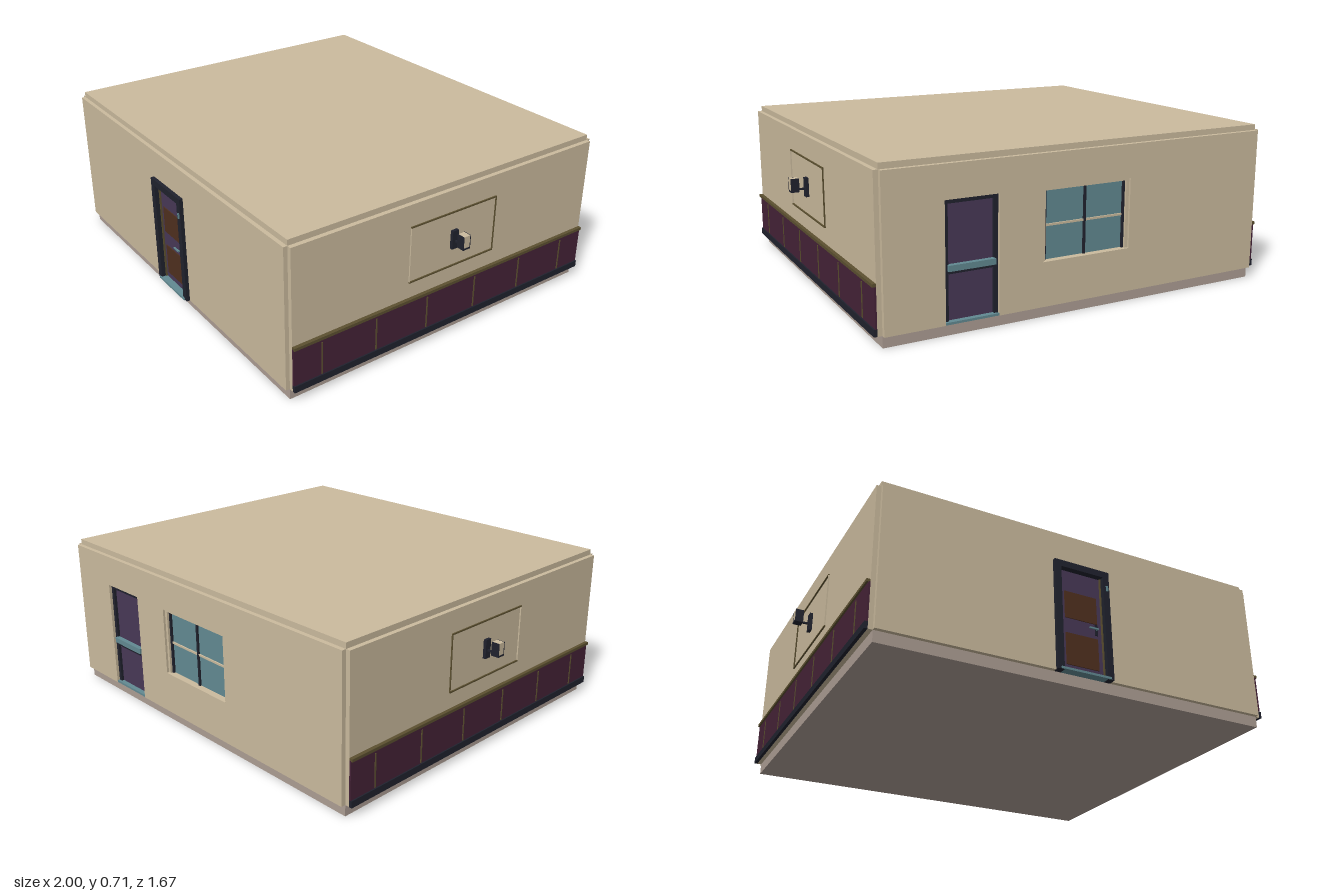
import * as THREE from 'three';

const material = (name, color) => {
  const m = new THREE.MeshStandardMaterial({ color });
  m.name = name;
  return m;
};

export function createModel() {
  const beige = material('beige plaster', 0xcbbb9e);
  const stone = material('floor stone', 0xad9e94);
  const navy = material('dark navy', 0x20222e);
  const purple = material('purple door', 0x483857);
  const brown = material('brown panel', 0x50301f);
  const maroon = material('maroon wainscot', 0x452237);
  const olive = material('olive trim', 0x5c5030);
  const teal = material('teal metal and glass', 0x628a92);

  const model = new THREE.Group();
  model.name = 'room';

  // Box given by its limits on each axis
  const box = (parent, name, mat, x0, x1, y0, y1, z0, z1) => {
    const mesh = new THREE.Mesh(new THREE.BoxGeometry(x1 - x0, y1 - y0, z1 - z0), mat);
    mesh.position.set((x0 + x1) / 2, (y0 + y1) / 2, (z0 + z1) / 2);
    mesh.name = name;
    parent.add(mesh);
    return mesh;
  };
  const group = (name) => {
    const g = new THREE.Group();
    g.name = name;
    model.add(g);
    return g;
  };

  // Floor and ceiling slabs
  box(model, 'floor', stone, -0.9, 0.9, 0, 0.05, -0.815, 0.79);
  box(model, 'ceiling', beige, -0.9, 0.9, 0.665, 0.715, -0.815, 0.79);

  // Front wall, in pieces around the door opening
  const front = group('frontWall');
  box(front, 'wallLeft', beige, 0.115, 0.9, 0.05, 0.69, 0.768, 0.808);
  box(front, 'wallRight', beige, -0.9, -0.12, 0.05, 0.69, 0.768, 0.808);
  box(front, 'lintel', beige, -0.12, 0.115, 0.55, 0.69, 0.768, 0.808);

  // Back wall, in pieces around the door and window openings
  const back = group('backWall');
  const backPiece = (name, x0, x1, y0, y1) => box(back, name, beige, x0, x1, y0, y1, -0.835, -0.795);
  backPiece('wallLeft', 0.645, 0.9, 0.05, 0.69);
  backPiece('doorLintel', 0.41, 0.645, 0.55, 0.69);
  backPiece('wallMiddle', 0.21, 0.41, 0.05, 0.69);
  backPiece('windowLintel', -0.21, 0.21, 0.545, 0.69);
  backPiece('windowApron', -0.21, 0.21, 0.05, 0.225);
  backPiece('wallRight', -0.9, -0.21, 0.05, 0.69);

  // Front door with its casing
  const door = group('frontDoor');
  box(door, 'casingRight', navy, -0.135, -0.105, 0.05, 0.56, 0.775, 0.825);
  box(door, 'casingLeft', navy, 0.1, 0.13, 0.05, 0.56, 0.775, 0.825);
  box(door, 'casingTop', navy, -0.105, 0.1, 0.53, 0.56, 0.775, 0.825);
  box(door, 'doorLeaf', purple, -0.105, 0.1, 0.055, 0.53, 0.775, 0.798);
  box(door, 'upperPanel', brown, -0.08, 0.075, 0.305, 0.43, 0.798, 0.802);
  box(door, 'lowerPanel', brown, -0.08, 0.075, 0.09, 0.235, 0.798, 0.802);
  for (const x of [-0.105, 0.095]) box(door, 'sealStrip', olive, x, x + 0.005, 0.06, 0.53, 0.798, 0.806);
  box(door, 'threshold', teal, -0.12, 0.115, 0.05, 0.06, 0.768, 0.83);
  box(door, 'handlePlate', navy, 0.062, 0.074, 0.25, 0.3, 0.802, 0.806);
  box(door, 'handleLever', teal, 0.028, 0.07, 0.272, 0.279, 0.812, 0.819);
  box(door, 'handleNeck', teal, 0.064, 0.07, 0.272, 0.279, 0.802, 0.813);
  box(door, 'casingCatch', teal, 0.113, 0.122, 0.465, 0.49, 0.825, 0.83);

  // Back door with a push bar, recessed in its opening
  const exit = group('backDoor');
  box(exit, 'jambLeft', navy, 0.627, 0.645, 0.05, 0.55, -0.822, -0.79);
  box(exit, 'jambRight', navy, 0.41, 0.428, 0.05, 0.55, -0.822, -0.79);
  box(exit, 'jambTop', navy, 0.428, 0.627, 0.532, 0.55, -0.822, -0.79);
  box(exit, 'doorLeaf', purple, 0.428, 0.627, 0.06, 0.532, -0.81, -0.79);
  box(exit, 'pushBar', teal, 0.425, 0.63, 0.265, 0.29, -0.834, -0.812);
  box(exit, 'pushBarBracket', navy, 0.428, 0.627, 0.255, 0.265, -0.83, -0.81);
  box(exit, 'threshold', teal, 0.41, 0.645, 0.05, 0.06, -0.833, -0.79);

  // Back window
  const win = group('backWindow');
  box(win, 'glass', teal, -0.2, 0.2, 0.235, 0.535, -0.805, -0.8);
  for (const s of [-1, 1]) {
    box(win, 'frameSide', beige, s * 0.203 - 0.007, s * 0.203 + 0.007, 0.225, 0.545, -0.825, -0.795);
    box(win, 'sashSide', navy, s * 0.192 - 0.005, s * 0.192 + 0.005, 0.24, 0.535, -0.815, -0.8);
  }
  box(win, 'frameTop', beige, -0.2, 0.2, 0.535, 0.545, -0.825, -0.795);
  box(win, 'sill', beige, -0.21, 0.21, 0.225, 0.242, -0.836, -0.795);
  box(win, 'mullion', navy, -0.005, 0.005, 0.242, 0.535, -0.813, -0.8);
  box(win, 'crossBar', beige, -0.187, 0.187, 0.383, 0.392, -0.811, -0.8);

  // Side walls with wainscot, framed panel and lamp, mirrored in x
  for (const s of [1, -1]) {
    const side = group(s > 0 ? 'leftWall' : 'rightWall');
    const part = (name, mat, x0, x1, ...yz) =>
      box(side, name, mat, Math.min(s * x0, s * x1), Math.max(s * x0, s * x1), ...yz);
    part('wall', beige, 0.88, 0.92, 0.05, 0.69, -0.815, 0.79);
    part('wainscot', maroon, 0.92, 0.928, 0.08, 0.25, -0.815, 0.79);
    part('baseboard', navy, 0.92, 0.934, 0.05, 0.08, -0.815, 0.79);
    part('chairRail', olive, 0.92, 0.936, 0.247, 0.26, -0.815, 0.79);
    for (let i = 0; i < 6; i++) {
      const z = 0.657 - i * 0.268;
      part('batten', olive, 0.928, 0.931, 0.083, 0.232, z - 0.003, z + 0.003);
    }
    part('panelTop', olive, 0.92, 0.926, 0.586, 0.592, -0.243, 0.222);
    part('panelBottom', olive, 0.92, 0.926, 0.332, 0.338, -0.243, 0.222);
    part('panelBackEdge', olive, 0.92, 0.926, 0.338, 0.586, -0.243, -0.24);
    part('panelFrontEdge', beige, 0.92, 0.926, 0.338, 0.586, 0.219, 0.222);

    // Wall lamp: dark sides and base around a pale block
    part('lampBackplate', navy, 0.92, 0.934, 0.42, 0.505, -0.028, 0.004);
    part('lampArm', navy, 0.93, 0.965, 0.452, 0.46, -0.016, -0.008);
    part('lampBase', navy, 0.963, 1, 0.447, 0.455, -0.031, 0.007);
    part('lampShade', beige, 0.964, 0.999, 0.455, 0.508, -0.028, 0.004);
    for (const z of [-0.031, 0.004]) part('lampCheek', navy, 0.963, 1, 0.455, 0.508, z, z + 0.003);
  }
  return model;
}
